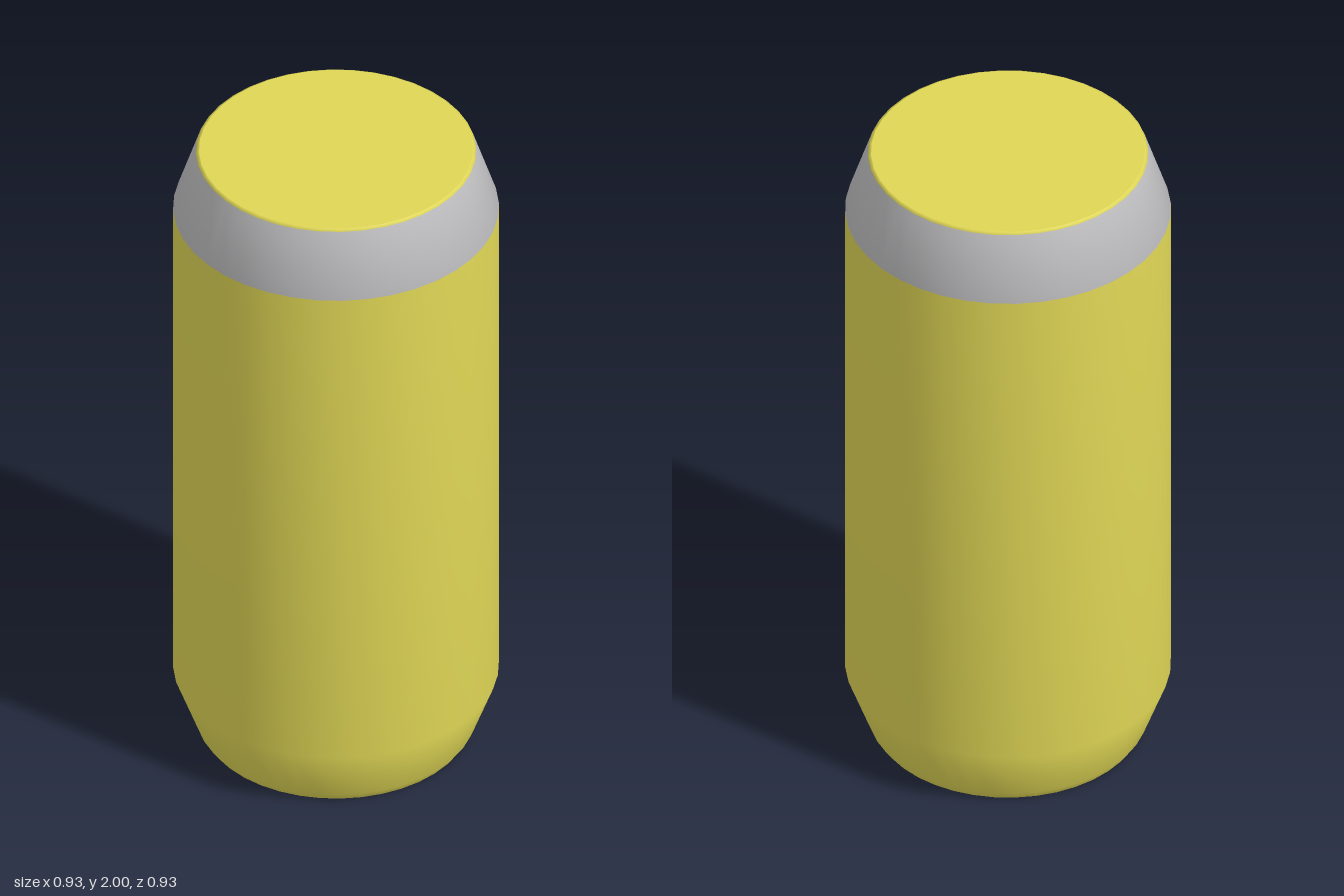
import * as THREE from 'three';

const SEGMENTS = 40;

export function createModel() {
  const model = new THREE.Group();
  model.name = 'can';

  const yellow = new THREE.MeshStandardMaterial({ name: 'yellow', color: 0xdfd655 });
  const silver = new THREE.MeshStandardMaterial({ name: 'silver', color: 0xc0c0c2 });

  // Wall profile, bottom to top: bevel, lower taper, body, shoulder, rim bevel
  const profile = [
    [0.383, 0], [0.4, 0.025], [0.465, 0.2], [0.465, 1.8], [0.4, 1.995], [0.391, 2],
  ].map(([r, y]) => new THREE.Vector2(r, y));
  const bandMaterials = [0, 0, 0, 1, 0]; // index of the colour of each band

  // One smooth wall, coloured by bands
  const wallGeometry = new THREE.LatheGeometry(profile, SEGMENTS);
  wallGeometry.clearGroups();
  for (let i = 0; i < SEGMENTS; i++) {
    bandMaterials.forEach((material, band) => {
      wallGeometry.addGroup((i * bandMaterials.length + band) * 6, 6, material);
    });
  }
  const wall = new THREE.Mesh(wallGeometry, [yellow, silver]);
  wall.name = 'wall';
  model.add(wall);

  // Flat end discs
  const addDisc = (name, radius, y, tilt) => {
    const disc = new THREE.Mesh(new THREE.CircleGeometry(radius, SEGMENTS), yellow);
    disc.name = name;
    disc.position.y = y;
    disc.rotation.x = tilt;
    model.add(disc);
  };
  addDisc('lid', 0.391, 2, -Math.PI / 2);
  addDisc('base', 0.383, 0, Math.PI / 2);

  return model;
}
